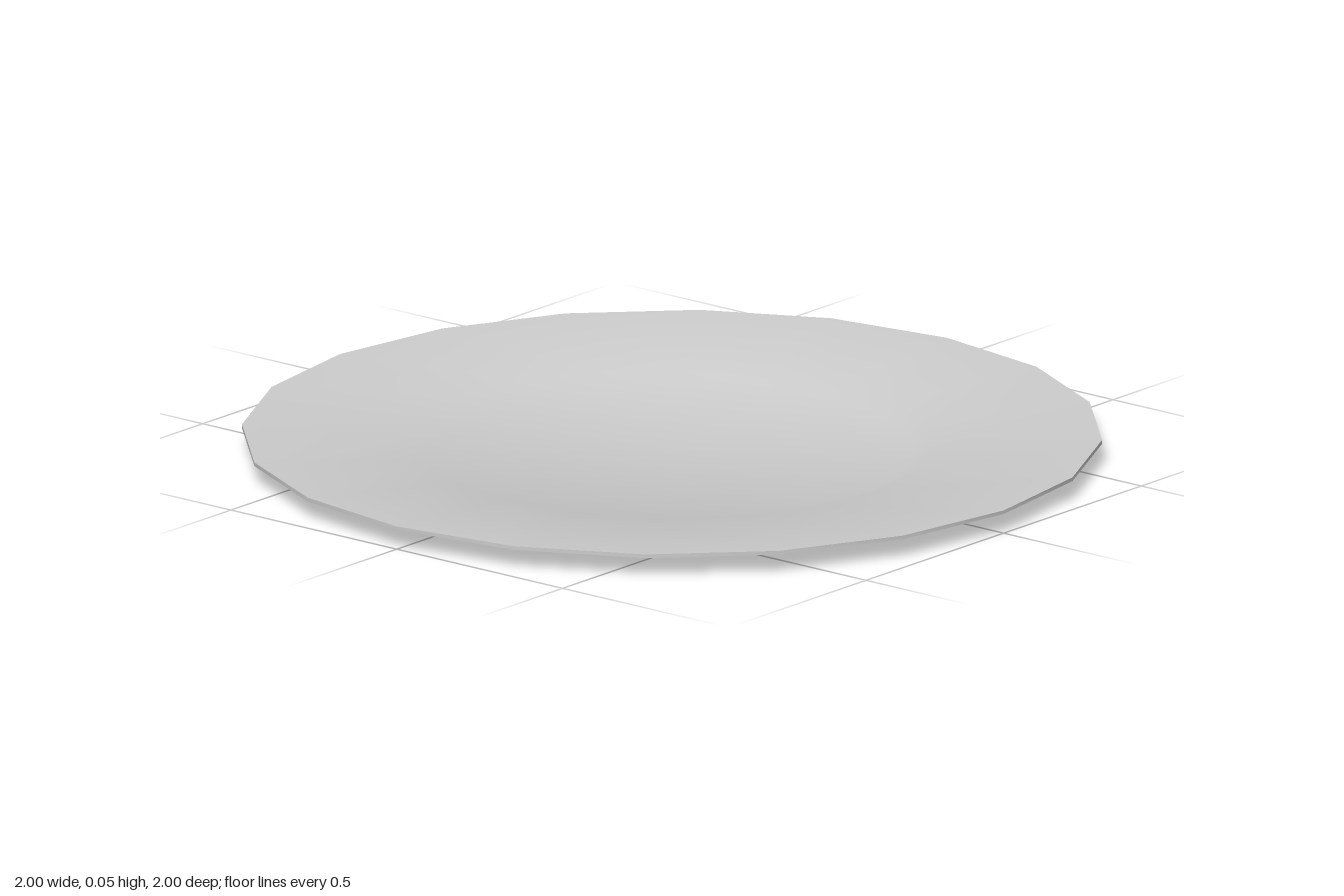
import * as THREE from 'three';
import { toCreasedNormals } from 'three/addons/utils/BufferGeometryUtils.js';

const SIDES = 20;

export function createModel() {
  const group = new THREE.Group();
  group.name = 'dinnerPlate';

  // Cross-section from the underside centre, around the lip, to the well centre
  const profile = [
    [0, 0],
    [0.57, 0],      // foot edge
    [1, 0.046],     // underside of rim
    [1, 0.055],     // lip
    [0.605, 0.026], // inner end of rim
    [0.57, 0.012],  // edge of well
    [0, 0.012],
  ].map(([r, y]) => new THREE.Vector2(r, y));

  const geometry = toCreasedNormals(new THREE.LatheGeometry(profile, SIDES), THREE.MathUtils.degToRad(35));
  const plate = new THREE.Mesh(geometry, new THREE.MeshStandardMaterial({ color: 0xcccccc }));
  plate.name = 'plate';
  group.add(plate);

  return group;
}
